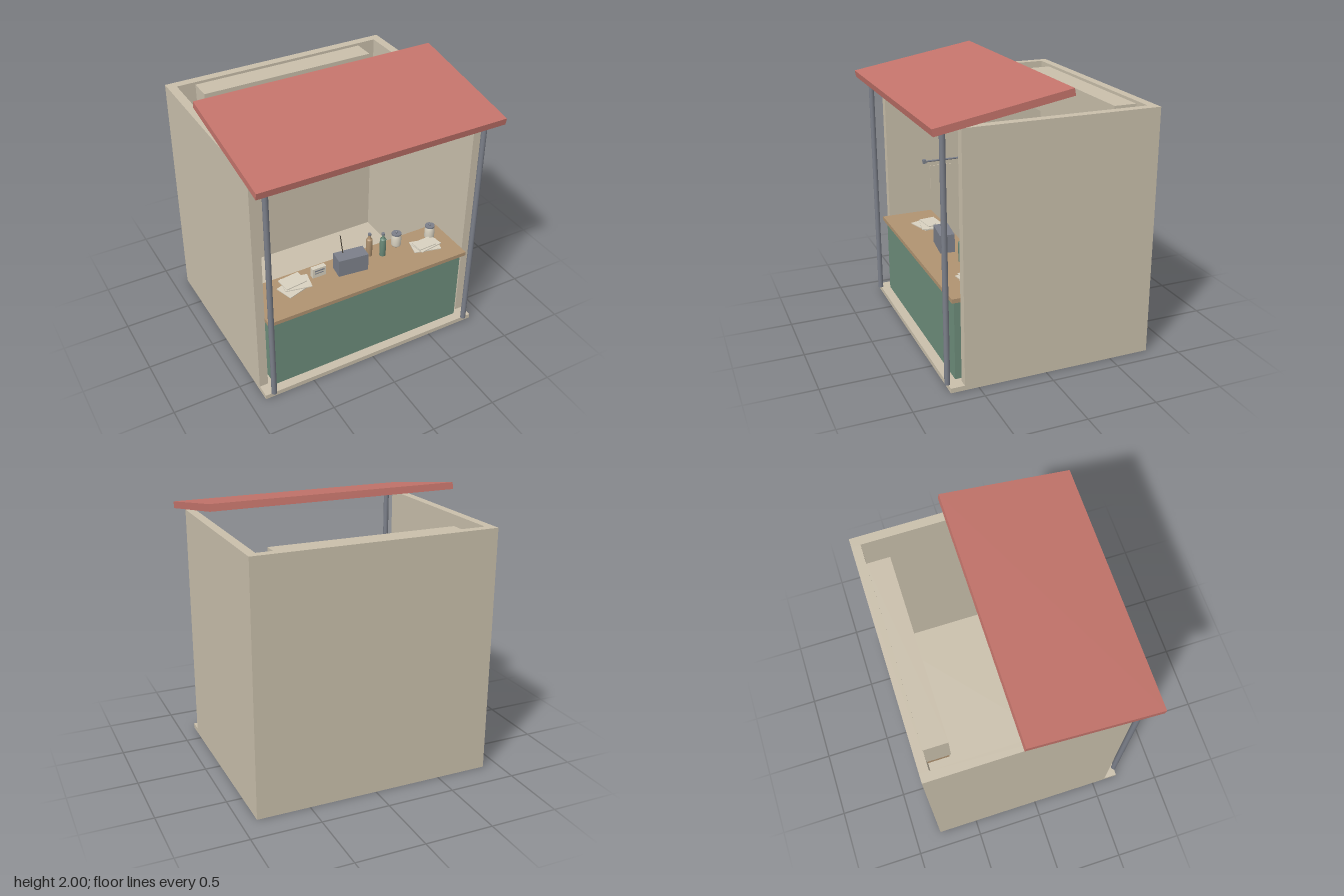
import * as THREE from 'three';

const mat = (name, color) => {
  const m = new THREE.MeshStandardMaterial({ color });
  m.name = name;
  return m;
};

export function createModel() {
  const plaster = mat('plaster', 0xc9bfab);
  const red = mat('red', 0xc4746b);
  const green = mat('green', 0x6d8d7b);
  const wood = mat('wood', 0xb09371);
  const metal = mat('metal', 0x7b7f89);
  const paper = mat('paper', 0xd8d1c0);
  const dark = mat('dark', 0x4a4237);

  const model = new THREE.Group();
  model.name = 'marketStall';

  const add = (parent, name, geometry, material, x = 0, y = 0, z = 0) => {
    const mesh = new THREE.Mesh(geometry, material);
    mesh.name = name;
    mesh.position.set(x, y, z);
    parent.add(mesh);
    return mesh;
  };
  // Box given by its limits on each axis
  const box = (parent, name, material, x0, x1, y0, y1, z0, z1) =>
    add(parent, name, new THREE.BoxGeometry(x1 - x0, y1 - y0, z1 - z0), material,
      (x0 + x1) / 2, (y0 + y1) / 2, (z0 + z1) / 2);
  const group = (name, x = 0, y = 0, z = 0, turn = 0) => {
    const g = new THREE.Group();
    g.name = name;
    g.position.set(x, y, z);
    g.rotation.y = turn;
    model.add(g);
    return g;
  };
  const lathe = (points, sides = 16) =>
    new THREE.LatheGeometry(points.map(([r, y]) => new THREE.Vector2(r, y)), sides);
  // Thin rod between two points
  const rod = (parent, name, material, a, b, r) => {
    const from = new THREE.Vector3(...a), to = new THREE.Vector3(...b);
    const mesh = add(parent, name, new THREE.CylinderGeometry(r, r, from.distanceTo(to), 10), material);
    mesh.position.copy(from).add(to).multiplyScalar(0.5);
    mesh.quaternion.setFromUnitVectors(new THREE.Vector3(0, 1, 0), to.sub(from).normalize());
    return mesh;
  };

  // Shell: floor, three walls and the boxed beam along the back
  box(model, 'floor', plaster, -0.885, 0.885, 0, 0.035, -0.8, 0.7);
  box(model, 'backWall', plaster, -0.82, 0.82, 0.035, 1.81, -0.8, -0.735);
  for (const s of [-1, 1]) {
    const side = s < 0 ? 'right' : 'left';
    add(model, side + 'Wall', new THREE.BoxGeometry(0.065, 1.775, 1.4), plaster, s * 0.8525, 0.9225, -0.1);
    add(model, side + 'Post', new THREE.CylinderGeometry(0.02, 0.02, 1.768, 12), metal, s * 0.82, 0.919, 0.702);
  }
  box(model, 'backBeam', plaster, -0.68, 0.68, 1.485, 1.79, -0.735, -0.568);

  // Sloping awning
  const awning = add(model, 'awning', new THREE.BoxGeometry(1.84, 0.05, 0.955), red, 0, 1.892, 0.3255);
  awning.rotation.x = THREE.MathUtils.degToRad(10);

  // Counter
  box(model, 'counterBase', green, -0.783, 0.783, 0.035, 0.62, 0.28, 0.632);
  box(model, 'counterTop', wood, -0.815, 0.815, 0.62, 0.65, 0.25, 0.657);

  // Wall shelf with four binders
  const shelf = group('wallShelf');
  box(shelf, 'shelfBack', wood, -0.5, -0.12, 0.84, 1.17, -0.735, -0.72);
  box(shelf, 'shelfTop', wood, -0.522, -0.098, 1.168, 1.19, -0.735, -0.565);
  box(shelf, 'shelfBottom', wood, -0.5, -0.12, 0.822, 0.842, -0.735, -0.567);
  box(shelf, 'shelfBoard', wood, -0.5, -0.12, 0.872, 0.888, -0.735, -0.567);
  box(shelf, 'shelfRecess', dark, -0.5, -0.12, 0.842, 0.872, -0.72, -0.714);
  box(shelf, 'shelfSide', wood, -0.52, -0.5, 0.822, 1.168, -0.735, -0.567);
  box(shelf, 'shelfSide', wood, -0.12, -0.1, 0.822, 1.168, -0.735, -0.567);
  const covers = [red, metal, wood, green];
  const labels = [metal, wood, green, red];
  covers.forEach((cover, i) => {
    const x = -0.438 + i * 0.085;
    box(shelf, 'binder', cover, x - 0.039, x + 0.039, 0.888, 1.082, -0.71, -0.6);
    box(shelf, 'binderLabel', labels[i], x - 0.033, x + 0.033, 1.04, 1.078, -0.6, -0.597);
  });

  // Loose stacks of paper
  const stack = (x, z, sheets) => {
    const g = group('paperStack', x, 0.65, z);
    sheets.forEach(([w, d, dx, dz, turn], i) => {
      const sheet = add(g, 'sheet', new THREE.BoxGeometry(w, 0.007, d), paper, dx, 0.006 + i * 0.011, dz);
      sheet.rotation.y = turn;
    });
  };
  stack(-0.475, 0.38, [[0.2, 0.14, -0.02, 0.02, 0.3], [0.2, 0.14, 0.01, 0, -0.2], [0.17, 0.12, -0.01, -0.02, 0.12]]);
  stack(0.59, 0.45, [[0.21, 0.13, 0, 0, -0.25], [0.19, 0.12, 0.01, 0, 0.15], [0.15, 0.1, -0.01, 0, 0.05]]);

  // Small price card with ruled lines
  const card = group('priceCard', -0.275, 0.65, 0.36);
  box(card, 'cardBody', paper, -0.054, 0.054, 0, 0.078, -0.018, 0.018);
  box(card, 'cardLine', metal, -0.038, 0.038, 0.052, 0.062, 0.018, 0.02);
  box(card, 'cardLine', metal, -0.038, 0.03, 0.032, 0.039, 0.018, 0.02);

  // Radio with a leaning aerial
  const radio = group('radio', -0.035, 0.65, 0.41, -0.12);
  box(radio, 'radioBody', metal, -0.115, 0.115, 0, 0.138, -0.055, 0.055);
  rod(radio, 'aerial', dark, [-0.05, 0.135, -0.03], [-0.072, 0.3, -0.03], 0.0035);

  // Bottles
  const bottleShape = lathe([[0, 0], [0.024, 0], [0.024, 0.14], [0.022, 0.148], [0.01, 0.153], [0.01, 0.185]]);
  [[0.166, 0.335, wood], [0.256, 0.38, green]].forEach(([x, z, m]) => {
    const g = group('bottle', x, 0.65, z);
    add(g, 'bottleBody', bottleShape, m);
    add(g, 'bottleCap', new THREE.CylinderGeometry(0.013, 0.013, 0.014, 12), metal, 0, 0.19, 0);
  });

  // Lidded jars
  const jarShape = lathe([[0, 0], [0.032, 0], [0.038, 0.012], [0.039, 0.075], [0.03, 0.095], [0.03, 0.103]]);
  [[0.407, 0.33], [0.68, 0.37]].forEach(([x, z]) => {
    const g = group('jar', x, 0.65, z);
    add(g, 'jarBody', jarShape, paper);
    add(g, 'jarLid', new THREE.CylinderGeometry(0.037, 0.037, 0.012, 16), metal, 0, 0.107, 0);
    add(g, 'lidKnob', new THREE.SphereGeometry(0.01, 10, 8), metal, 0, 0.12, 0);
  });

  // Rail on the side wall with two hanging boards
  const rail = group('hangingRail');
  rod(rail, 'rail', metal, [-0.8, 1.075, -0.39], [-0.8, 1.075, 0.31], 0.008);
  for (const z of [-0.38, 0.3]) box(rail, 'railBracket', metal, -0.82, -0.79, 1.06, 1.09, z - 0.012, z + 0.012);
  for (const z of [0.158, -0.117]) {
    box(rail, 'hangingBoard', plaster, -0.803, -0.796, 0.775, 1.035, z - 0.098, z + 0.098);
    rod(rail, 'boardHook', metal, [-0.8, 1.03, z], [-0.8, 1.075, z], 0.004);
  }
  return model;
}
